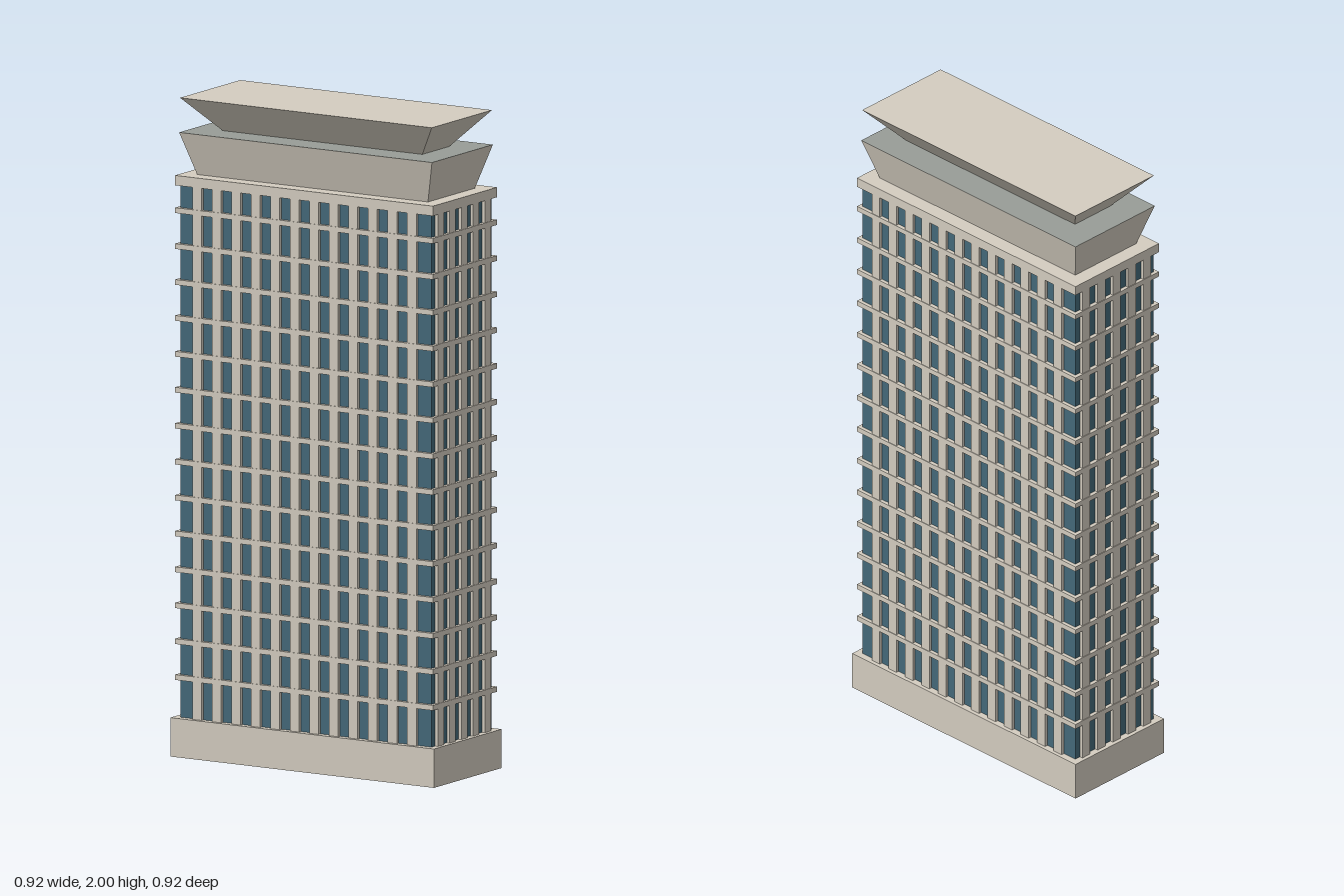
import * as THREE from 'three';

export function createModel() {
  const concrete = new THREE.MeshStandardMaterial({ color: 0xd4cdc0 });
  concrete.name = 'concrete';
  const glass = new THREE.MeshStandardMaterial({ color: 0x44697a });
  glass.name = 'blueGlass';
  const roofGrey = new THREE.MeshStandardMaterial({ color: 0x989d97 });
  roofGrey.name = 'roofGrey';

  const model = new THREE.Group();
  model.name = 'officeTower';
  // The tower stands diagonally; everything is built along its own axes
  const tower = new THREE.Group();
  tower.name = 'tower';
  tower.rotation.y = -Math.PI / 4;
  model.add(tower);

  // Box given by half sizes and a height range
  function block(name, hx, hz, y0, y1, material, x = 0, z = 0) {
    const mesh = new THREE.Mesh(new THREE.BoxGeometry(2 * hx, y1 - y0, 2 * hz), material);
    mesh.position.set(x, (y0 + y1) / 2, z);
    mesh.name = name;
    tower.add(mesh);
    return mesh;
  }

  // Block that flares outwards from a smaller bottom
  function flared(name, bottom, top, y0, y1, material) {
    const mesh = block(name, top[0], top[1], y0, y1, material);
    const p = mesh.geometry.attributes.position;
    for (let i = 0; i < p.count; i++) {
      if (p.getY(i) < 0) {
        p.setX(i, Math.sign(p.getX(i)) * bottom[0]);
        p.setZ(i, Math.sign(p.getZ(i)) * bottom[1]);
      }
    }
    mesh.geometry = mesh.geometry.toNonIndexed();
    mesh.geometry.computeVertexNormals();
  }

  const hx = 0.444, hz = 0.166; // glass core
  const ledge = 0.012;          // how far slabs stand out

  // Core, seen from below inside the plinth
  block('glassCore', hx, hz, 0, 1.74, glass);
  block('plinth', 0.466, 0.188, 0.002, 0.12, concrete);

  // Floor slabs
  for (let i = 0; i < 14; i++) {
    const y = 0.242 + i * 0.109;
    block('floorSlab', hx + ledge, hz + ledge, y - 0.008, y + 0.008, concrete);
  }

  // Vertical fins on the long sides and the ends
  const fin = 0.0165, depth = 0.005;
  for (const side of [-1, 1]) {
    for (let i = 0; i < 12; i++) {
      block('longSideFin', fin, depth, 0.12, 1.74, concrete, (i - 5.5) * 0.069, side * (hz + depth));
    }
    for (let i = 0; i < 5; i++) {
      block('endFin', depth, fin, 0.12, 1.74, concrete, side * (hx + depth), (i - 2) * 0.065);
    }
  }

  // Cornice and the two flared crown tiers
  block('cornice', hx + ledge, hz + ledge, 1.735, 1.765, concrete);
  const tierMaterials = [concrete, concrete, roofGrey, concrete, concrete, concrete];
  flared('lowerCrown', [0.408, 0.13], [0.447, 0.169], 1.765, 1.895, tierMaterials);
  flared('upperCrown', [0.353, 0.075], [0.445, 0.167], 1.895, 2.0, concrete);

  return model;
}
